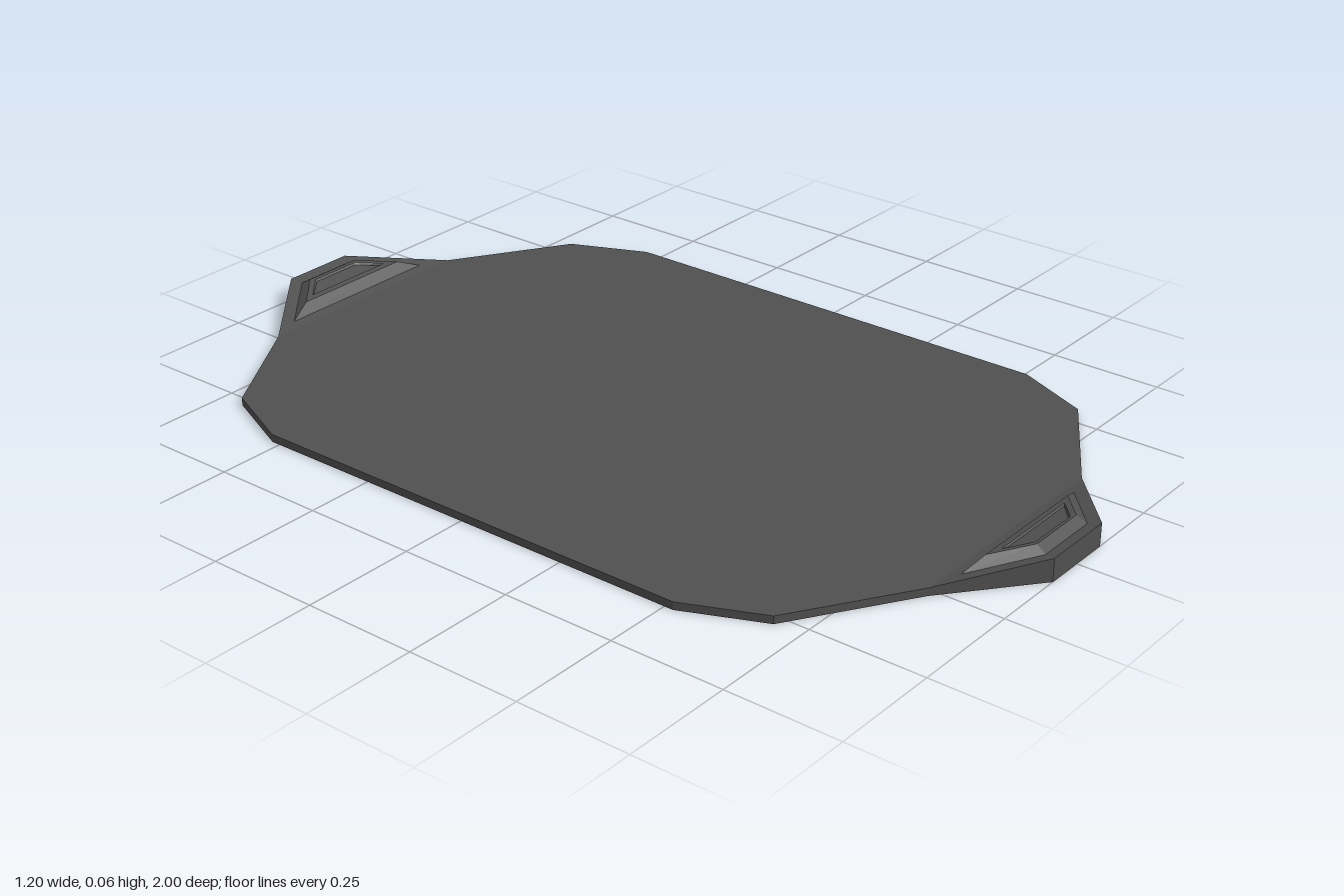
import * as THREE from 'three';

const material = new THREE.MeshStandardMaterial({ color: 0x505050, flatShading: true });

// Four-cornered trapezoid loop: inner edge (z, half width, height), then outer edge
const trapezoid = (zi, wi, yi, zo, wo, yo) => [
  [-wi, yi, zi], [-wo, yo, zo], [wo, yo, zo], [wi, yi, zi],
];

// Joins successive loops with quads and caps the last one
function loft(loops) {
  const positions = [];
  const quad = (a, b, c, d) => positions.push(...a, ...b, ...c, ...a, ...c, ...d);
  for (let k = 0; k < loops.length - 1; k++) {
    const lo = loops[k], hi = loops[k + 1];
    for (let i = 0; i < 4; i++) {
      const j = (i + 1) % 4;
      quad(lo[i], lo[j], hi[j], hi[i]);
    }
  }
  quad(...loops[loops.length - 1]);
  const geometry = new THREE.BufferGeometry();
  geometry.setAttribute('position', new THREE.Float32BufferAttribute(positions, 3));
  geometry.computeVertexNormals();
  return geometry;
}

export function createModel() {
  const model = new THREE.Group();
  const thickness = 0.017;

  // Flat plate with a twelve-sided outline, mirrored from one quarter
  const quarter = [[0.6, 0.52], [0.525, 0.69], [0.27, 0.85], [0.085, 1]];
  const flipped = [...quarter].reverse();
  const outline = [
    ...quarter,
    ...flipped.map(([x, z]) => [-x, z]),
    ...quarter.map(([x, z]) => [-x, -z]),
    ...flipped.map(([x, z]) => [x, -z]),
  ].map(([x, z]) => new THREE.Vector2(x, z));
  const plateGeometry = new THREE.ExtrudeGeometry(new THREE.Shape(outline), {
    depth: thickness, bevelEnabled: false,
  });
  plateGeometry.rotateX(-Math.PI / 2);
  const plate = new THREE.Mesh(plateGeometry, material);
  plate.name = 'plate';
  model.add(plate);

  // Raised end: sloped ramp, bevelled pad, shallow recess in its top
  const endGeometry = loft([
    trapezoid(0.85, 0.27, thickness, 1, 0.085, thickness),
    trapezoid(0.85, 0.27, thickness, 1, 0.085, 0.05),
    trapezoid(0.873, 0.2, 0.022, 0.975, 0.075, 0.0445),
    trapezoid(0.89, 0.145, 0.045, 0.953, 0.07, 0.057),
    trapezoid(0.903, 0.112, 0.0475, 0.945, 0.062, 0.0555),
    trapezoid(0.906, 0.106, 0.044, 0.942, 0.06, 0.051),
  ]);
  for (const [name, turn] of [['frontEnd', 0], ['backEnd', Math.PI]]) {
    const end = new THREE.Mesh(endGeometry, material);
    end.name = name;
    end.rotation.y = turn;
    model.add(end);
  }
  return model;
}
